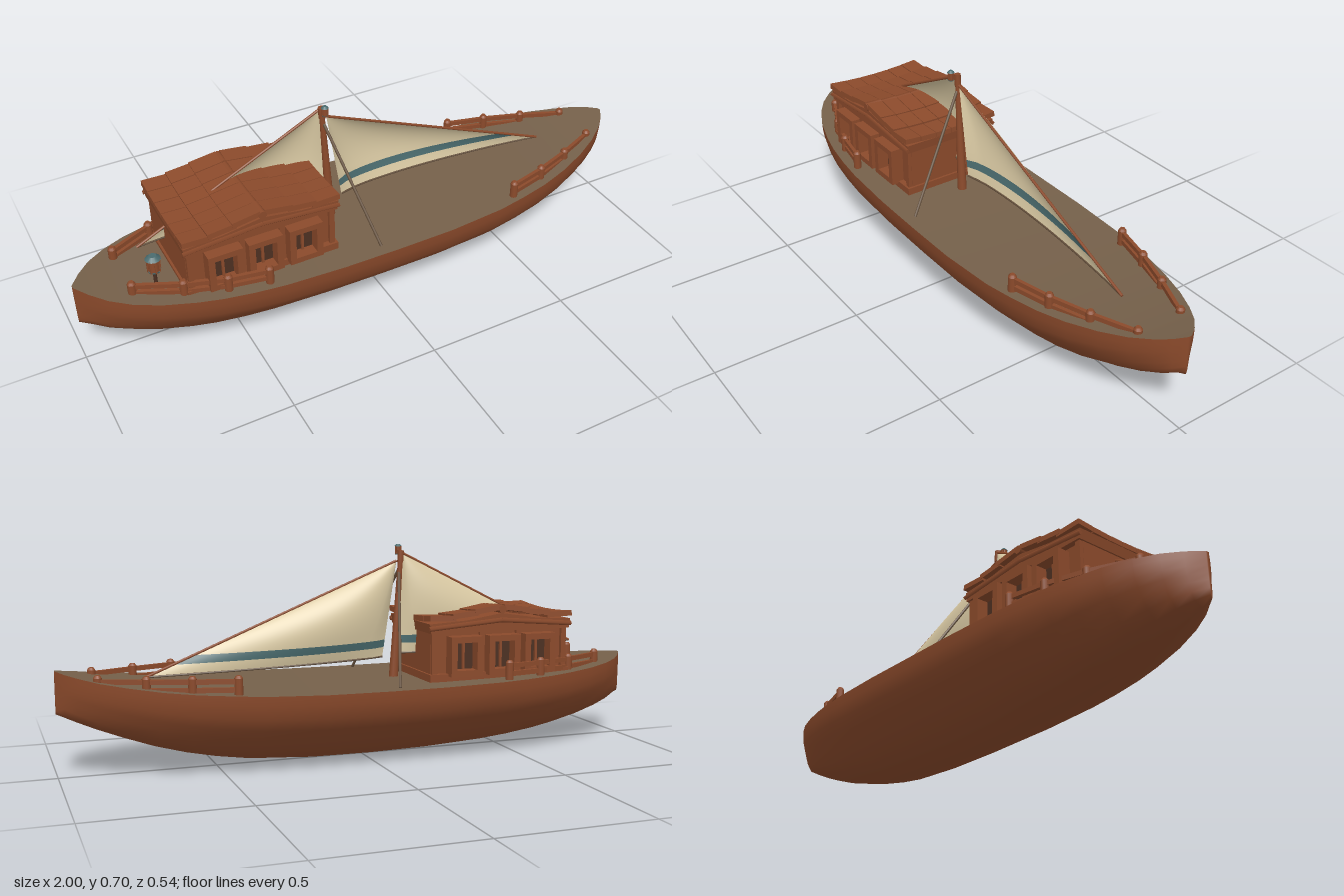
import * as THREE from 'three';

const mat = (name, color, side = THREE.FrontSide) => {
  const m = new THREE.MeshStandardMaterial({ color, side });
  m.name = name;
  return m;
};
const V = (x, y, z) => new THREE.Vector3(x, y, z);
const outline = pts => pts.map(p => new THREE.Vector2(...p));

// Hull stations: x, half width, sheer height, keel height
const STATIONS = [
  [-1, 0.006, 0.3, 0.155], [-0.965, 0.055, 0.296, 0.142], [-0.92, 0.104, 0.291, 0.126],
  [-0.86, 0.147, 0.285, 0.107], [-0.78, 0.186, 0.279, 0.084], [-0.68, 0.218, 0.273, 0.06],
  [-0.6, 0.237, 0.269, 0.044], [-0.5, 0.252, 0.265, 0.029], [-0.4, 0.262, 0.262, 0.018],
  [-0.2, 0.27, 0.259, 0.005], [0, 0.271, 0.258, 0], [0.2, 0.27, 0.259, 0.002],
  [0.4, 0.258, 0.264, 0.015], [0.5, 0.244, 0.27, 0.03], [0.6, 0.225, 0.276, 0.051],
  [0.7, 0.197, 0.285, 0.079], [0.8, 0.159, 0.298, 0.115], [0.88, 0.118, 0.31, 0.147],
  [0.94, 0.077, 0.323, 0.174], [0.975, 0.042, 0.331, 0.191], [1, 0.006, 0.338, 0.203],
];
// Half cross-section from gunwale to keel: width and height fractions
const SECTION = [[1, 1], [0.99, 0.87], [0.945, 0.69], [0.84, 0.54], [0.7, 0.39], [0.54, 0.22], [0.31, 0.08], [0, 0]];

function deckY(x) {
  const i = Math.max(1, STATIONS.findIndex(s => s[0] >= x));
  const a = STATIONS[i - 1], b = STATIONS[i];
  return THREE.MathUtils.lerp(a[2], b[2], (x - a[0]) / (b[0] - a[0]));
}

// Surface through a grid of points given by fn(i, j)
function gridGeometry(ni, nj, fn) {
  const pos = [], index = [];
  for (let i = 0; i <= ni; i++) for (let j = 0; j <= nj; j++) pos.push(...fn(i, j));
  for (let i = 0; i < ni; i++) for (let j = 0; j < nj; j++) {
    const a = i * (nj + 1) + j, b = a + nj + 1;
    index.push(a, a + 1, b, b, a + 1, b + 1);
  }
  const g = new THREE.BufferGeometry();
  g.setAttribute('position', new THREE.Float32BufferAttribute(pos, 3));
  g.setIndex(index);
  g.computeVertexNormals();
  return g;
}

export function createModel() {
  const model = new THREE.Group();
  const wood = mat('reddish wood', 0x8b4a2b);
  const plank = mat('deck planking', 0x75604a);
  const cloth = mat('sail cloth', 0xd9c9a3, THREE.DoubleSide);
  const teal = mat('teal', 0x4a6b6e, THREE.DoubleSide);
  const rope = mat('rope', 0x65503c);
  const dark = mat('dark wood', 0x4c3022);

  const add = (name, geo, material, parent = model) => {
    const m = new THREE.Mesh(geo, material);
    m.name = name;
    parent.add(m);
    return m;
  };
  const group = name => {
    const g = new THREE.Group();
    g.name = name;
    model.add(g);
    return g;
  };
  const box = (name, w, h, d, x, y, z, material, parent) => {
    const m = add(name, new THREE.BoxGeometry(w, h, d), material, parent);
    m.position.set(x, y, z);
    return m;
  };
  const beam = (name, a, b, r0, r1, material, parent, sides = 8) => {
    const d = b.clone().sub(a);
    const m = add(name, new THREE.CylinderGeometry(r1, r0, d.length(), sides), material, parent);
    m.position.copy(a).addScaledVector(d, 0.5);
    m.quaternion.setFromUnitVectors(V(0, 1, 0), d.normalize());
    return m;
  };

  // Hull with closed ends and fuller sections toward bow and stern, and deck
  const n = STATIONS.length;
  const ring = [...SECTION, ...SECTION.slice(0, -1).reverse().map(([w, h]) => [-w, h])];
  add('hull', gridGeometry(n + 1, ring.length - 1, (i, j) => {
    const [x, w, top, keel] = STATIONS[THREE.MathUtils.clamp(i - 1, 0, n - 1)];
    const half = i === 0 || i === n + 1 ? 0 : w;
    const [f, h] = ring[j];
    return [x, keel + (top - keel) * h, half * Math.sign(f) * Math.abs(f) ** (1 - 0.5 * x * x)];
  }), wood);
  add('deck', gridGeometry(n - 1, 1, (i, j) => {
    const [x, w, top] = STATIONS[i];
    return [x, top, j ? w : -w];
  }), plank);

  // Cabin walls
  const cabin = group('cabin');
  const cx = -0.435;
  box('cabinWalls', 0.5, 0.18, 0.31, cx, 0.345, 0, wood, cabin);
  box('cabinSill', 0.515, 0.025, 0.35, cx, 0.272, 0, wood, cabin);
  for (const s of [1, -1]) {
    for (const x of [-0.675, -0.503, -0.368, -0.195])
      box('wallPost', 0.018, 0.16, 0.02, x, 0.345, s * 0.158, wood, cabin);
    // Deep projecting window frames with recessed panes
    for (const x of [-0.57, -0.437, -0.3]) {
      const frame = new THREE.Shape(outline([[-0.057, -0.066], [0.057, -0.066], [0.057, 0.066], [-0.057, 0.066]]));
      frame.holes.push(new THREE.Path(outline([[-0.036, -0.046], [-0.036, 0.046], [0.036, 0.046], [0.036, -0.046]])));
      const f = add('windowFrame', new THREE.ExtrudeGeometry(frame, { depth: 0.05, bevelEnabled: false }), wood, cabin);
      f.position.set(x, 0.343, s > 0 ? 0.15 : -0.2);
      box('windowPane', 0.072, 0.092, 0.006, x, 0.343, s * 0.157, dark, cabin);
      box('windowBar', 0.008, 0.092, 0.008, x, 0.343, s * 0.164, wood, cabin);
    }
  }

  // Roof: low gable with arched boards and stepped tile rows climbing to a ridge
  const roof = group('roof');
  const gable = new THREE.Shape(outline([[-0.255, 0.42], [0.255, 0.42], [0.26, 0.452], [0.13, 0.46], [0, 0.48], [-0.13, 0.46], [-0.26, 0.452]]));
  add('roofBase', new THREE.ExtrudeGeometry(gable, { depth: 0.35, bevelEnabled: false }), wood, roof).position.set(cx, 0, -0.175);
  for (const s of [1, -1])
    for (const t of [1, -1])
      beam('gableTrim', V(cx + t * 0.262, 0.436, s * 0.176), V(cx, 0.457, s * 0.176), 0.008, 0.008, wood, roof, 4);
  const rows = [[0.215, 0.46, 0.03], [0.133, 0.47, -0.1], [0.053, 0.484, -0.14]];
  for (let k = -2.5; k <= 2.5; k++) {
    const z = k * 0.061;
    const lift = 0.0012 * k * k;
    for (const s of [1, -1])
      for (const [dx, y, tilt] of rows) {
        const t = box('roofTile', 0.094, 0.018, 0.058, cx + s * dx, y + lift, z, wood, roof);
        t.rotation.set(-k * 0.035, 0, s * tilt);
      }
    beam('ridgeTile', V(cx, 0.486 + lift, z - 0.03), V(cx, 0.486 + lift, z + 0.03), 0.014, 0.014, wood, roof, 10);
  }

  // Mast and stays
  const mastTop = V(-0.14, 0.685, -0.006);
  beam('mast', V(-0.115, 0.25, -0.004), mastTop, 0.016, 0.008, wood, model, 12);
  beam('mastBand', V(-0.138, 0.645, -0.006), mastTop, 0.011, 0.011, wood, model, 12);
  for (const s of [1, -1])
    beam('shroud', V(-0.135, 0.625, 0), V(-0.05, 0.26, s * 0.23), 0.005, 0.005, rope);

  // Triangular sails: bellied cloth in bands with edge spars
  function sail(name, peak, tack, clew, belly, bands) {
    const g = group(name);
    const at = (u, v) => {
      const p = tack.clone().lerp(clew, u).lerp(peak, v);
      const along = Math.max(0, Math.sin(Math.PI * u ** 0.75));
      p.z -= belly * along ** 0.8 * Math.sin(Math.PI * (0.2 + 0.8 * v));
      return p;
    };
    for (const [v0, v1, material, part] of bands)
      add(part, gridGeometry(20, 12, (i, j) => at(i / 20, v0 + (v1 - v0) * j / 12).toArray()), material, g);
    beam('sailSpar', clew, peak, 0.0045, 0.0045, wood, g);
    const foot = Array.from({ length: 11 }, (_, i) => at(i / 10, 0));
    add('footRope', new THREE.TubeGeometry(new THREE.CatmullRomCurve3(foot), 20, 0.0035, 6), rope, g);
  }
  const bands = [[0, 0.1, cloth, 'sailFoot'], [0.1, 0.18, teal, 'sailStripe'], [0.18, 1, cloth, 'sailBody']];
  sail('foreSail', V(-0.125, 0.65, -0.002), V(-0.075, 0.328, -0.002), V(0.72, 0.303, -0.002), 0.052, bands);
  sail('aftSail', V(-0.145, 0.675, -0.012), V(-0.125, 0.34, -0.012), V(-0.78, 0.355, -0.022), 0.045, bands);

  // Railings on both sides of bow and stern: round posts with flat rails
  const railing = (name, points) => {
    for (const s of [1, -1]) {
      const g = group(name);
      points.forEach(([x, z], i) => {
        const top = Math.max(0.32, deckY(x) + 0.012);
        beam('railPost', V(x, deckY(x) - 0.01, s * z), V(x, top, s * z), 0.0135, 0.0135, wood, g, 10);
        beam('postCap', V(x, top, s * z), V(x, top + 0.008, s * z), 0.0135, 0.008, wood, g, 10);
        if (!i) return;
        const [px, pz] = points[i - 1];
        const length = Math.hypot(x - px, z - pz);
        for (const y of [0.31, 0.284]) {
          const rail = box('rail', length, 0.015, 0.012, (x + px) / 2, y, s * (z + pz) / 2, wood, g);
          rail.rotation.y = -Math.atan2(s * (z - pz), x - px);
        }
      });
    }
  };
  railing('bowRailing', [[0.475, 0.217], [0.61, 0.183], [0.742, 0.138], [0.88, 0.081]]);
  railing('sternRailing', [[-0.842, 0.094], [-0.7, 0.16], [-0.57, 0.202], [-0.442, 0.225]]);

  // Lanterns: barred body with teal cap and base
  function lantern(name, x, y, z, r, h) {
    const g = group(name);
    g.position.set(x, y, z);
    add('lanternBody', new THREE.CylinderGeometry(r * 0.8, r * 0.8, h, 12), wood, g);
    for (let i = 0; i < 8; i++) {
      const a = i * Math.PI / 4;
      box('lanternBar', r * 0.2, h, r * 0.2, Math.cos(a) * r * 0.82, 0, Math.sin(a) * r * 0.82, wood, g);
    }
    add('lanternBase', new THREE.CylinderGeometry(r * 0.9, r * 0.8, h * 0.12, 12), teal, g).position.y = -h / 2;
    add('lanternCap', new THREE.CylinderGeometry(r * 0.5, r * 1.05, h * 0.25, 12), teal, g).position.y = h * 0.58;
  }
  lantern('sternLantern', -0.76, 0.35, 0.073, 0.024, 0.048);
  beam('lanternPost', V(-0.76, 0.27, 0.073), V(-0.76, 0.33, 0.073), 0.006, 0.006, dark);
  lantern('mastLantern', -0.14, 0.685, 0.02, 0.012, 0.028);

  return model;
}
